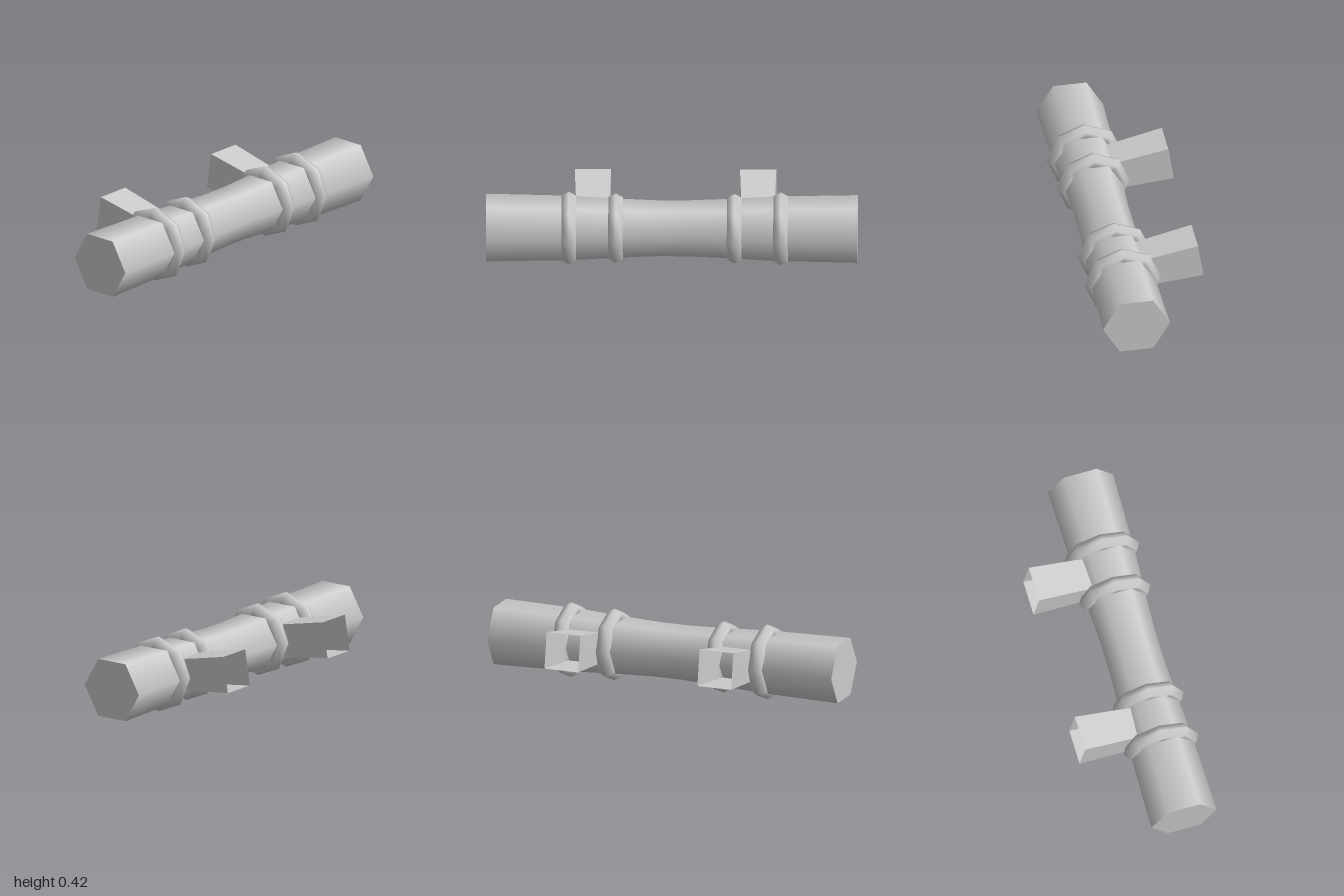
import * as THREE from 'three';

const AXIS_Y = 0.21, AXIS_Z = 0.12;

export function createModel() {
  const model = new THREE.Group();
  const smooth = new THREE.MeshStandardMaterial({ color: 0xcccccc });
  const flat = new THREE.MeshStandardMaterial({ color: 0xcccccc, flatShading: true, side: THREE.DoubleSide });

  const add = (name, geometry, material, x = 0, y = AXIS_Y, z = AXIS_Z) => {
    const mesh = new THREE.Mesh(geometry, material);
    mesh.name = name;
    mesh.position.set(x, y, z);
    model.add(mesh);
  };

  // Six-sided grip, slightly waisted in the middle
  const profile = [
    [-1, 0.183], [-0.55, 0.174], [-0.28, 0.159], [-0.08, 0.151],
    [0.08, 0.151], [0.28, 0.159], [0.55, 0.174], [1, 0.183],
  ].map(([x, r]) => new THREE.Vector2(r, x));
  add('gripBar', new THREE.LatheGeometry(profile, 6).rotateZ(-Math.PI / 2), smooth);

  // Flat end caps
  for (const side of [-1, 1]) {
    add('endCap', new THREE.CircleGeometry(0.183, 6).rotateY(side * Math.PI / 2), smooth, side);
  }

  // Eight-sided collars, the outer pair a little larger
  for (const [x, radius] of [[-0.555, 0.164], [-0.303, 0.155], [0.335, 0.155], [0.585, 0.164]]) {
    add('collar', new THREE.TorusGeometry(radius, 0.045, 6, 8).rotateY(Math.PI / 2), smooth, x);
  }

  // Tapered square mounts, open at the back and sunk into the bar
  for (const x of [-0.429, 0.46]) add('mount', mountGeometry(), flat, x, 0, 0);

  return model;
}

// Four walls between a back and a front rectangle, without ends
function mountGeometry() {
  const loop = (w, [topY, topZ], [lowY, lowZ]) =>
    [[w, topY, topZ], [-w, topY, topZ], [-w, lowY, lowZ], [w, lowY, lowZ]];
  const back = loop(0.098, [0.367, -0.297], [0.17, -0.328]);
  const front = loop(0.087, [0.297, 0.03], [0.129, 0.015]);
  const corners = [];
  for (let i = 0; i < 4; i++) {
    const j = (i + 1) % 4;
    corners.push(back[i], back[j], front[j], back[i], front[j], front[i]);
  }
  const geometry = new THREE.BufferGeometry();
  geometry.setAttribute('position', new THREE.Float32BufferAttribute(corners.flat(), 3));
  geometry.computeVertexNormals();
  return geometry;
}
